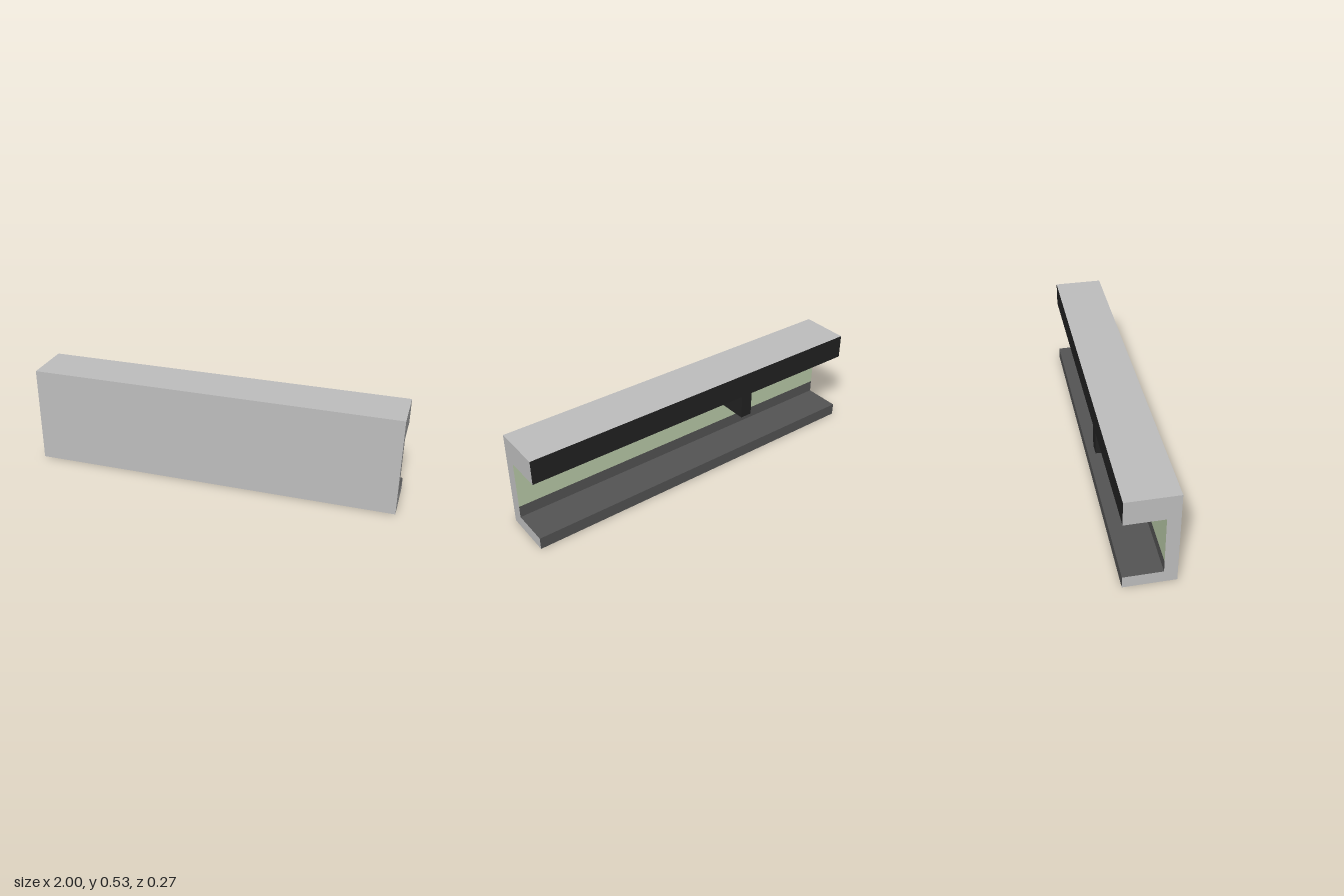
import * as THREE from 'three';

const U = 2 / 15 / 2;      // module: the piece is 30 x 8 x 4 units
const HALF = 15 * U;       // half length along x

const flat = (name, color) => {
  const m = new THREE.MeshStandardMaterial({ color });
  m.name = name;
  return m;
};

// Sweeps an open [z, y] path along x, one flat quad per segment
function sweep(path) {
  const pos = [];
  for (let i = 0; i < path.length - 1; i++) {
    const [pz, py] = path[i], [qz, qy] = path[i + 1];
    const a = [-HALF, py * U, pz * U], b = [-HALF, qy * U, qz * U];
    const c = [HALF, qy * U, qz * U], d = [HALF, py * U, pz * U];
    pos.push(...a, ...b, ...c, ...a, ...c, ...d);
  }
  const g = new THREE.BufferGeometry();
  g.setAttribute('position', new THREE.Float32BufferAttribute(pos, 3));
  g.computeVertexNormals();
  return g;
}

export function createModel() {
  const group = new THREE.Group();
  const lightGrey = flat('light grey', 0xbfbfbf);
  const darkGrey = flat('dark grey', 0x555555);
  const green = flat('pale green', 0xbdceab);
  const black = flat('black', 0x222222);

  const add = (name, geometry, material) => {
    const mesh = new THREE.Mesh(geometry, material);
    mesh.name = name;
    group.add(mesh);
    return mesh;
  };

  // Consecutive stretches of the channel profile, in units of [z, y]
  const outer = [[-2, 8], [2, 8], [2, 0], [-2, 0]];
  const lip = [[-2, 0], [-2, 1], [1, 1], [1, 2]];
  const wall = [[1, 2], [1, 6]];
  const beam = [[1, 6], [-2, 6], [-2, 8]];
  add('outerShell', sweep(outer), lightGrey);
  add('lowerLip', sweep(lip), darkGrey);
  add('innerWall', sweep(wall), green);
  add('topBeamBack', sweep(beam), black);

  // End caps
  const outline = [...outer, [-2, 1], [1, 1], [1, 6], [-2, 6]];
  for (const side of [1, -1]) {
    const shape = new THREE.Shape(outline.map(([z, y]) => new THREE.Vector2(-side * z * U, y * U)));
    const cap = add(side > 0 ? 'leftEndCap' : 'rightEndCap', new THREE.ShapeGeometry(shape), lightGrey);
    cap.rotation.y = side * Math.PI / 2;
    cap.position.x = side * HALF;
  }

  // Short post hanging below the beam
  const post = add('hangingPost', new THREE.BoxGeometry(U, 2 * U, 3 * U), black);
  post.position.set(-4.5 * U, 5 * U, -0.5 * U);

  return group;
}
